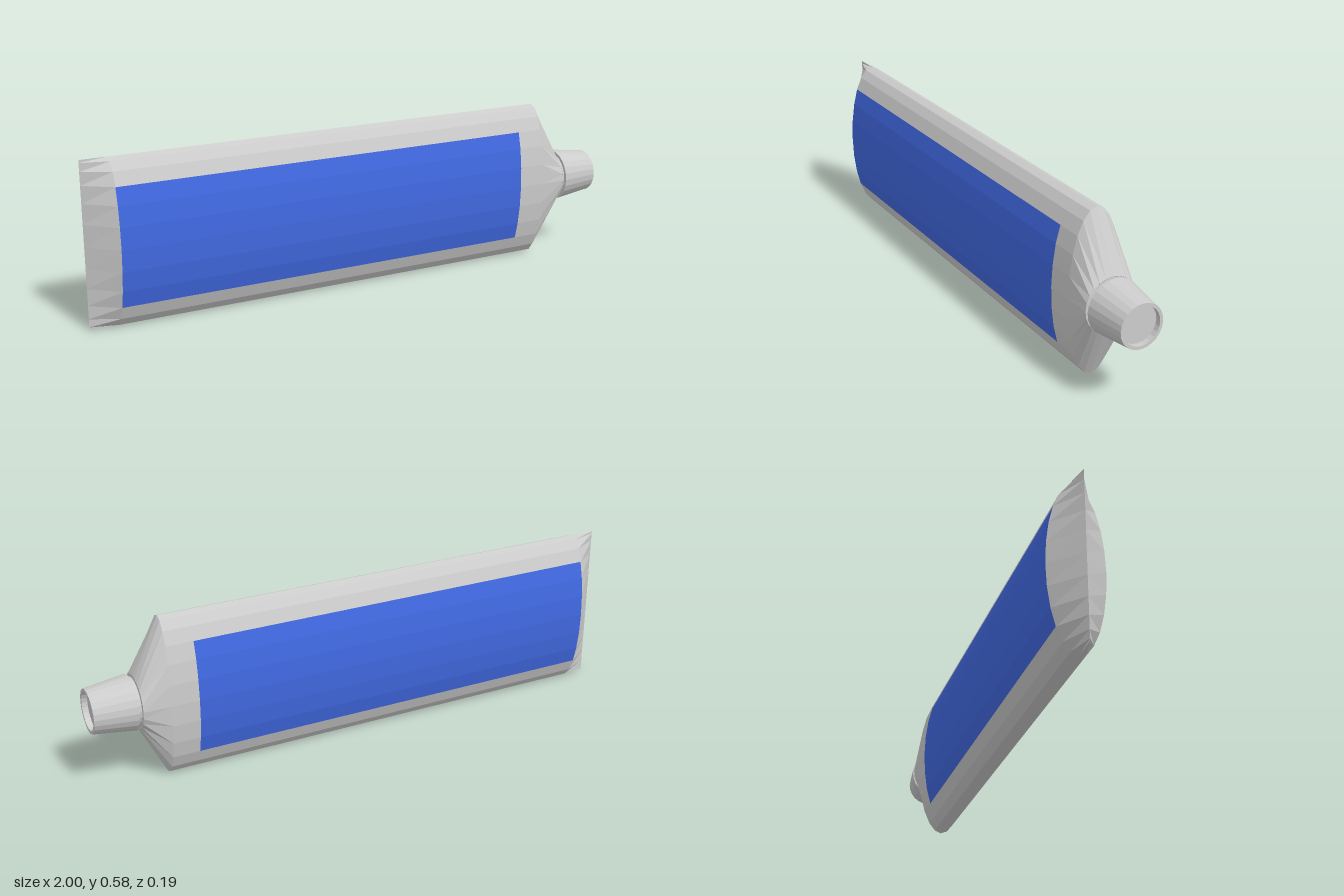
import * as THREE from 'three';

const SIDES = 24;
const CY = 0.2915;

// Elliptical cross-section: x position, half height, half depth
const SECTIONS = {
  crimp: [-1, 0.2915, 0],
  bodyStart: [-0.905, 0.2915, 0.096],
  labelEnd: [0.645, 0.2915, 0.096],
  bodyEnd: [0.742, 0.2915, 0.096],
  shoulderEnd: [0.84, 0.096, 0.094],
};

function ringPoint([x, ry, rz], i) {
  const a = (i / SIDES) * Math.PI * 2;
  return [x, CY + ry * Math.cos(a), rz * Math.sin(a)];
}

// Skin between two cross-sections, over the sides that pass the filter
function skin(name, from, to, material, keep = () => true) {
  const pos = [];
  for (let i = 0; i < SIDES; i++) {
    if (!keep(i)) continue;
    const a = ringPoint(from, i), b = ringPoint(from, i + 1);
    const c = ringPoint(to, i + 1), d = ringPoint(to, i);
    pos.push(...a, ...b, ...d, ...b, ...c, ...d);
  }
  const geo = new THREE.BufferGeometry();
  geo.setAttribute('position', new THREE.Float32BufferAttribute(pos, 3));
  geo.computeVertexNormals();
  const mesh = new THREE.Mesh(geo, material);
  mesh.name = name;
  return mesh;
}

// Turned part along the x axis; the profile holds [radius, x] pairs
function turned(name, profile, material) {
  const geo = new THREE.LatheGeometry(profile.map(([r, x]) => new THREE.Vector2(r, x)), SIDES);
  geo.rotateZ(-Math.PI / 2);
  const mesh = new THREE.Mesh(geo, material);
  mesh.position.y = CY;
  mesh.name = name;
  return mesh;
}

export function createModel() {
  const group = new THREE.Group();
  group.name = 'squeezeTube';
  const grey = new THREE.MeshStandardMaterial({ color: 0xcccccc, flatShading: true, side: THREE.DoubleSide });
  const blue = new THREE.MeshStandardMaterial({ color: 0x4169e1, flatShading: true, side: THREE.DoubleSide });
  const s = SECTIONS;

  // Middle six sides of the front and of the back carry the coloured panels
  const front = i => i >= 3 && i < 9;
  const back = i => i >= 15 && i < 21;

  group.add(
    skin('crimpedEnd', s.crimp, s.bodyStart, grey),
    skin('bodyEdges', s.bodyStart, s.labelEnd, grey, i => !front(i) && !back(i)),
    skin('frontPanel', s.bodyStart, s.labelEnd, blue, front),
    skin('backPanel', s.bodyStart, s.labelEnd, blue, back),
    skin('bodyCollar', s.labelEnd, s.bodyEnd, grey),
    skin('shoulder', s.bodyEnd, s.shoulderEnd, grey),
  );

  // Neck closes the shoulder and leaves a narrow groove before the cap
  group.add(turned('neck', [[0.095, 0.84], [0.085, 0.841], [0.085, 0.856]], grey));

  // Tapered cap with a recessed end
  group.add(turned('cap', [
    [0, 0.853], [0.096, 0.853], [0.077, 1], [0.066, 1], [0.066, 0.98], [0, 0.98],
  ], grey));

  return group;
}
